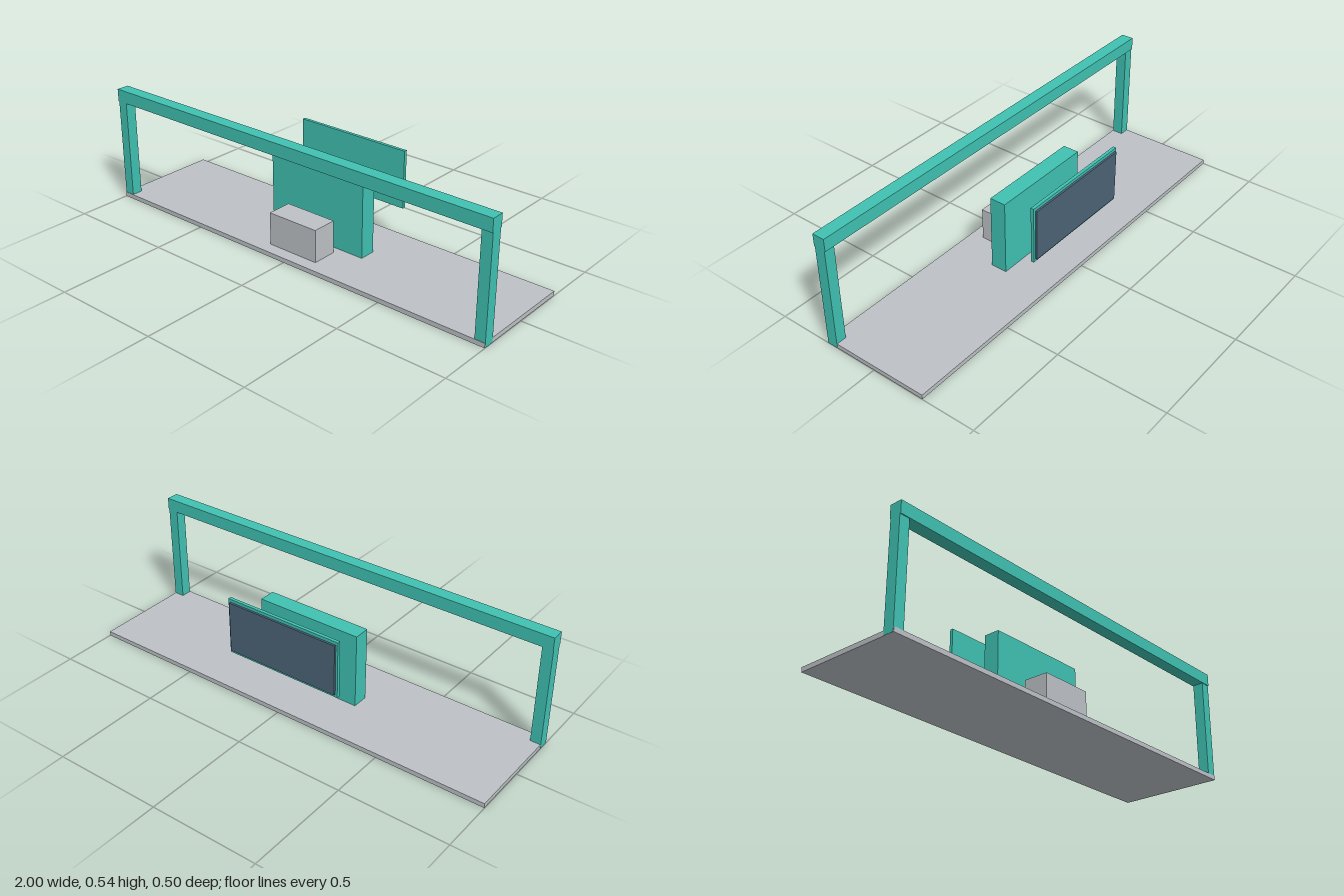
import * as THREE from 'three';

export function createModel() {
  const model = new THREE.Group();
  model.name = 'exhibitionBooth';

  const paint = (name, color) => {
    const m = new THREE.MeshStandardMaterial({ color });
    m.name = name;
    return m;
  };
  const grey = paint('light grey', 0xbdc2c6);
  const teal = paint('teal', 0x40c2b3);
  const slate = paint('slate blue', 0x4c6477);

  // Box given by its lower and upper bounds on each axis
  const box = (name, material, [x0, x1], [y0, y1], [z0, z1]) => {
    const mesh = new THREE.Mesh(new THREE.BoxGeometry(x1 - x0, y1 - y0, z1 - z0), material);
    mesh.position.set((x0 + x1) / 2, (y0 + y1) / 2, (z0 + z1) / 2);
    mesh.name = name;
    model.add(mesh);
  };

  // Floor slab
  box('floor', grey, [-0.999, 0.999], [0, 0.021], [-0.25, 0.25]);

  // Front gantry: two posts carrying a slightly deeper beam
  box('rightPost', teal, [-1, -0.952], [0.0005, 0.48], [0.198, 0.248]);
  box('leftPost', teal, [0.952, 1], [0.0005, 0.48], [0.198, 0.248]);
  box('beam', teal, [-1, 1], [0.477, 0.535], [0.194, 0.252]);

  // Central wall and the counter before it
  box('wall', teal, [-0.25, 0.25], [0.0005, 0.367], [-0.0375, 0.0375]);
  box('counter', grey, [-0.127, 0.127], [0.02, 0.171], [0.075, 0.192]);

  // Display behind the wall, facing backwards
  box('screenFrame', teal, [-0.282, 0.282], [0.176, 0.441], [-0.212, -0.197]);
  box('screenPanel', slate, [-0.272, 0.272], [0.19, 0.427], [-0.221, -0.211]);

  return model;
}
